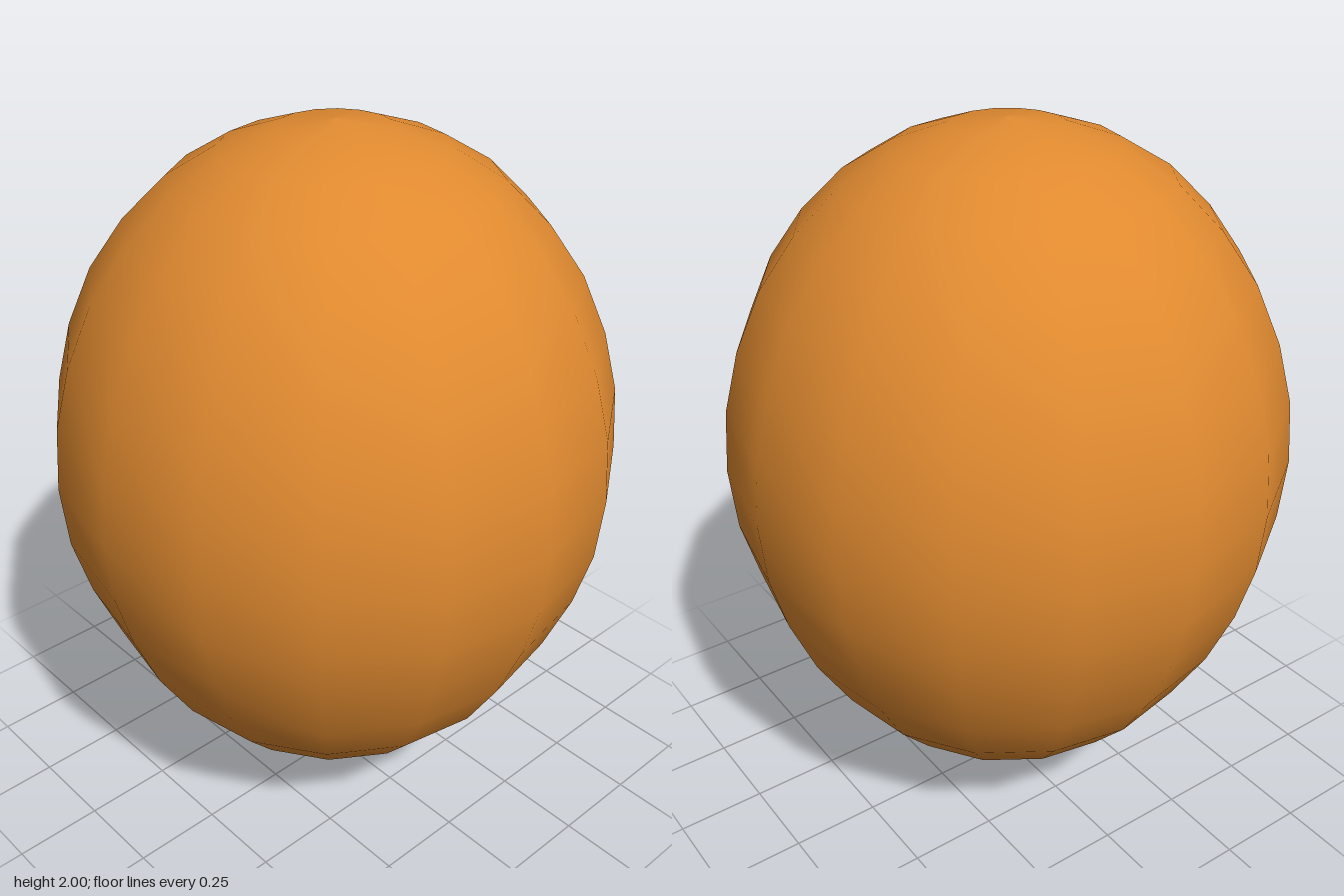
import * as THREE from 'three';

const SIDES = 16;
const material = new THREE.MeshStandardMaterial({ color: 0xe08a30, side: THREE.DoubleSide });

// Turns a bottom-to-top profile of [radius, height] pairs into a smooth mesh
function lathe(name, profile) {
  const points = profile.map(([r, y]) => new THREE.Vector2(r, y));
  const mesh = new THREE.Mesh(new THREE.LatheGeometry(points, SIDES), material);
  mesh.name = name;
  return mesh;
}

export function createModel() {
  const group = new THREE.Group();
  group.name = 'balloon';

  // Inflated body: circular sweep of radii, with heights fuller at the top
  const heights = [0.13, 0.15, 0.21, 0.305, 0.435, 0.595, 0.765, 0.925, 1.1,
    1.275, 1.44, 1.6, 1.735, 1.85, 1.93, 1.98, 2];
  const body = heights.map((y, i) => [0.768 * Math.sin((Math.PI * i) / 16), y]);
  body[0][0] = body[16][0] = 0;
  group.add(lathe('body', body));

  // Hollow neck: inside wall down to the rolled lip, then up the outside
  group.add(lathe('neck', [
    [0, 0.075], [0.018, 0.07], [0.028, 0.04], [0.045, 0.015], [0.056, 0.003],
    [0.062, 0], [0.067, 0.008], [0.066, 0.018], [0.058, 0.025], [0.046, 0.031],
    [0.041, 0.05], [0.036, 0.08], [0.032, 0.105], [0.037, 0.118], [0.047, 0.13], [0.05, 0.137],
  ]));

  return group;
}
